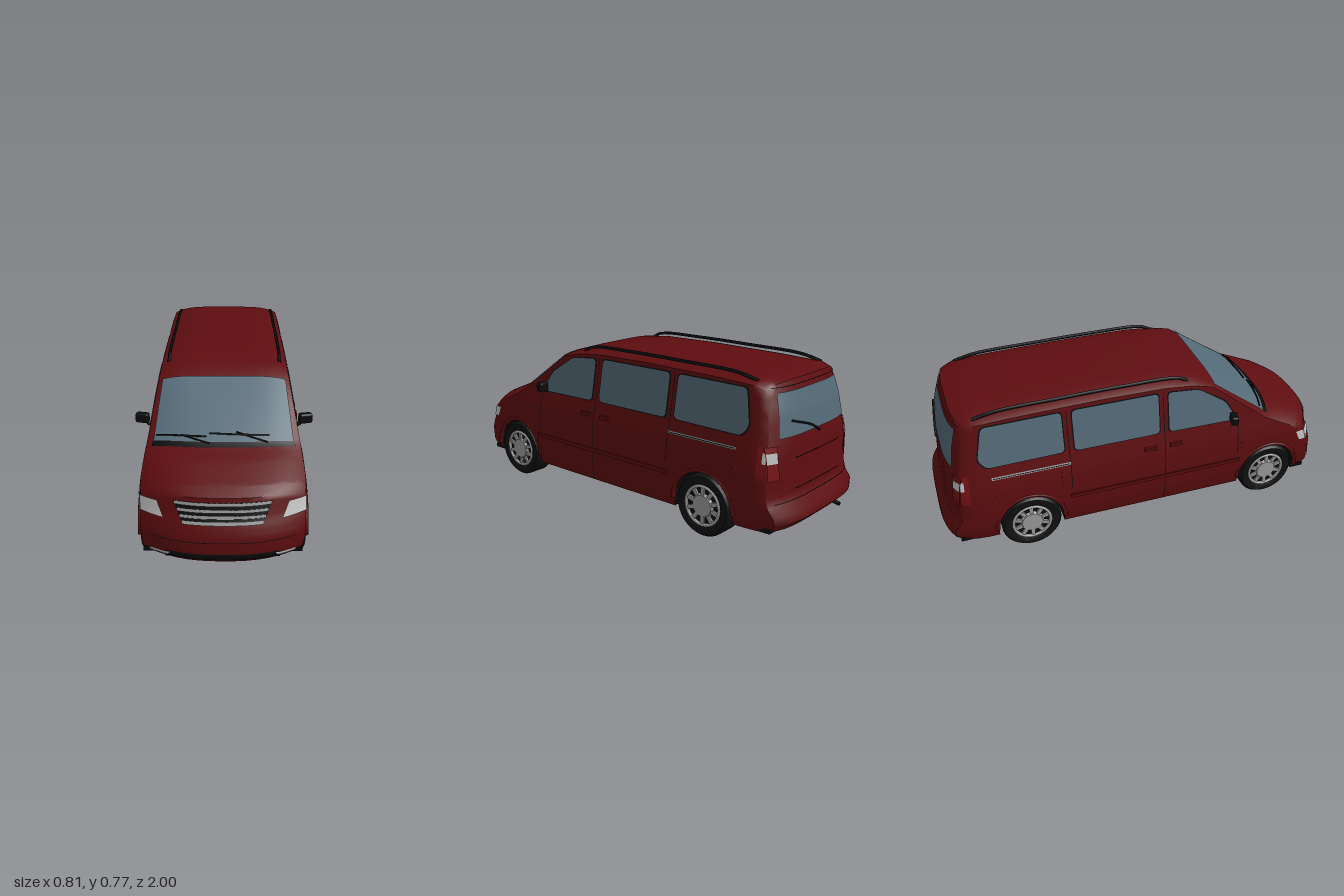
import * as THREE from 'three';
import { mergeGeometries, mergeVertices, toCreasedNormals } from 'three/addons/utils/BufferGeometryUtils.js';
import { RoundedBoxGeometry } from 'three/addons/geometries/RoundedBoxGeometry.js';

const V = (x, y, z) => new THREE.Vector3(x, y, z);
const mat = (name, color) => Object.assign(new THREE.MeshStandardMaterial({ color, side: THREE.DoubleSide }), { name });

// Piecewise linear lookup in a short table of [position, value]
function look(table, x) {
  if (x <= table[0][0]) return table[0][1];
  for (let i = 1; i < table.length; i++) {
    const [x0, y0] = table[i - 1], [x1, y1] = table[i];
    if (x <= x1) return y0 + (y1 - y0) * (x - x0) / (x1 - x0);
  }
  return table[table.length - 1][1];
}

// Shape rules of the body
const FRONT = 0.88, REAR = -0.91, AXLES = [0.65, -0.59], ARCH = 0.158, HUB = 0.145;
const WIDTH = [[0.1, 0.345], [0.15, 0.358], [0.22, 0.365], [0.36, 0.362], [0.42, 0.352], [0.5, 0.334], [0.71, 0.297], [0.76, 0.29]];
const TAPER = [[-0.91, 0.945], [-0.86, 0.98], [-0.81, 1], [0.6, 1], [0.76, 0.985], [0.88, 0.95]];
const EDGE = [[-0.91, 0.7], [-0.8, 0.717], [-0.6, 0.725], [-0.2, 0.731], [0.1, 0.727], [0.24, 0.713], [0.34, 0.688], [0.62, 0.474], [0.7, 0.432], [0.8, 0.382], [0.88, 0.352]];
const CROWN = [[-0.91, 0.03], [0.2, 0.03], [0.36, 0.022], [0.62, 0.02], [0.7, 0.03], [0.88, 0.033]];
const BULGE = [[-0.91, -0.05], [-0.8, -0.02], [-0.7, 0], [0.34, 0], [0.62, 0.055], [0.88, 0.11]];
const LEAN_F = [[0.1, -0.03], [0.14, 0.01], [0.22, 0.008], [0.27, -0.008], [0.3, -0.022], [0.38, -0.045]];
const LEAN_R = [[0.1, 0], [0.12, -0.04], [0.19, -0.038], [0.22, 0], [0.45, 0.012], [0.6, 0.035], [0.73, 0.072]];

const halfWidth = (y, z) => look(WIDTH, Math.min(y, look(EDGE, z))) * look(TAPER, z);
function skin(a, y, z) {
  const bend = look(BULGE, z) * (1 - Math.abs(a) ** (z > 0 ? 2.5 : 4));
  const lean = z > 0.8 ? look(LEAN_F, y) * (z - 0.8) / 0.08 : z < -0.8 ? look(LEAN_R, y) * (-0.8 - z) / 0.11 : 0;
  return V(a * halfWidth(y, z), y, z + bend + lean);
}
const topY = (a, z) => look(EDGE, z) + look(CROWN, z) * (1 - Math.abs(a) ** 5);
const sill = z => {
  for (const c of AXLES) if (Math.abs(z - c) <= ARCH + 1e-6) return HUB + Math.sqrt(Math.max(0, ARCH ** 2 - (z - c) ** 2));
  return 0.1;
};
// Surfaces addressed by two readable coordinates
const onTop = (a, z) => skin(a, topY(a, z), z);
const onFront = (x, y) => skin(x / halfWidth(y, FRONT), y, FRONT);
const onRear = (x, y) => skin(x / halfWidth(y, REAR), y, REAR);
const onSide = s => (z, y) => skin(s, y, z);

function grid(f, nu, nv) {
  const pos = [], idx = [], w = nu + 1;
  for (let j = 0; j <= nv; j++) for (let i = 0; i <= nu; i++) pos.push(...f(i / nu, j / nv).toArray());
  for (let j = 0; j < nv; j++) for (let i = 0; i < nu; i++) {
    const p = j * w + i;
    idx.push(p, p + 1, p + w + 1, p, p + w + 1, p + w);
  }
  const g = new THREE.BufferGeometry();
  g.setAttribute('position', new THREE.Float32BufferAttribute(pos, 3));
  g.setIndex(idx);
  return g;
}

function bodyGeometry() {
  const ROWS = 16, CROSS = 20;
  const zs = EDGE.map(e => e[0]).concat([-0.86, -0.84, -0.4, 0.45, 0.5, 0.55, 0.66, 0.75, 0.84]);
  for (const c of AXLES) {
    for (let i = 0; i <= 18; i++) zs.push(c + ARCH * Math.cos(Math.PI * i / 18));
    zs.push(c - ARCH - 0.0005, c + ARCH + 0.0005);
  }
  zs.sort((p, q) => p - q);
  const n = 2 * ROWS + CROSS, cross = k => Math.sin((k * 2 - 1) * Math.PI / 2);
  const loft = grid((u, v) => {
    const i = Math.round(u * n), z = zs[Math.round(v * (zs.length - 1))];
    const b = sill(z), t = look(EDGE, z);
    if (i <= ROWS) return skin(1, b + (t - b) * i / ROWS, z);
    if (i >= ROWS + CROSS) return skin(-1, b + (t - b) * (n - i) / ROWS, z);
    return onTop(-cross((i - ROWS) / CROSS), z);
  }, n, zs.length - 1);
  const cap = (z, s) => grid((u, v) => {
    const a = s * cross(u);
    return skin(a, 0.1 + (topY(a, z) - 0.1) * v, z);
  }, CROSS, ROWS);
  return toCreasedNormals(mergeVertices(mergeGeometries([loft, cap(FRONT, 1), cap(REAR, -1)]), 1e-4), 0.8);
}

export function createModel() {
  const van = new THREE.Group();
  van.name = 'van';
  const red = mat('body red', 0x5e0d10), glass = mat('window glass', 0x546a77), black = mat('black trim', 0x0b0c0c);
  const tyreMat = mat('tyre rubber', 0x101111), silver = mat('silver', 0x9c9c9c), lamp = mat('lamp white', 0xc4c4c4);
  const tail = mat('tail lamp red', 0x741216);

  const add = (name, geo, m, parent = van) => {
    const mesh = new THREE.Mesh(geo, m);
    mesh.name = name;
    parent.add(mesh);
    return mesh;
  };
  // Thin plate on a surface; corners: bottom left, bottom right, top right, top left
  const plate = (name, m, surf, c, off, nu = 12, nv = 4) => {
    const g = grid((u, v) => {
      const at = k => (c[0][k] * (1 - u) + c[1][k] * u) * (1 - v) + (c[3][k] * (1 - u) + c[2][k] * u) * v;
      return surf(at(0), at(1)).add(off);
    }, nu, nv);
    g.computeVertexNormals();
    return add(name, g, m);
  };
  const rect = (x0, x1, y0, y1) => [[x0, y0], [x1, y0], [x1, y1], [x0, y1]];
  const rod = (name, m, pts, r) => add(name, new THREE.TubeGeometry(new THREE.CatmullRomCurve3(pts), 24, r, 6), m);
  const box = (name, m, w, h, d, x, y, z) => add(name, new THREE.BoxGeometry(w, h, d), m).position.set(x, y, z);

  add('body', bodyGeometry(), red);

  // Underside
  box('floor', black, 0.48, 0.2, 1.86, 0, 0.201, -0.01);
  for (const [z0, z1] of [[-0.93, -0.75], [-0.43, 0.49], [0.81, 0.88]]) box('sillFloor', black, 0.675, 0.02, z1 - z0, 0, 0.112, (z0 + z1) / 2);
  const pipe = add('exhaustPipe', new THREE.CylinderGeometry(0.01, 0.01, 0.1, 12), black);
  pipe.rotation.x = Math.PI / 2 - 0.2;
  pipe.position.set(-0.19, 0.098, -0.93);

  // Windscreen, cowl and wipers
  const up = V(0, 0.004, 0.004);
  plate('windscreen', glass, onTop, [[-0.91, 0.606], [0.91, 0.606], [0.935, 0.35], [-0.935, 0.35]], up, 24, 12);
  plate('cowl', black, onTop, rect(-0.92, 0.92, 0.628, 0.602), V(0, 0.003, 0.003), 24, 2);
  const wiper = (a0, z0, a1, z1, r) => rod('wiper', black, [0, 0.25, 0.5, 0.75, 1].map(t =>
    onTop(a0 + (a1 - a0) * t, z0 + (z1 - z0) * t).add(V(0, 0.008, 0.008))), r);
  wiper(-0.88, 0.585, -0.22, 0.587, 0.004);
  wiper(-0.55, 0.583, -0.18, 0.612, 0.004);
  wiper(-0.18, 0.575, 0.6, 0.584, 0.004);
  wiper(0.17, 0.57, 0.57, 0.61, 0.004);

  // Front face: grille, intake, bumper seam
  const fwd = d => V(0, 0.001, d);
  plate('grilleBack', black, onFront, [[-0.165, 0.28], [0.165, 0.28], [0.205, 0.368], [-0.205, 0.368]], fwd(0.004), 20, 8);
  for (const [y, h] of [[0.28, 0.013], [0.304, 0.013], [0.328, 0.013], [0.354, 0.014]]) {
    const x = 0.167 + (y - 0.28) * 0.44;
    plate('grilleBar', silver, onFront, rect(-x, x, y, y + h), fwd(0.009), 20, 2);
  }
  plate('intake', black, onFront, rect(-0.23, 0.23, 0.118, 0.156), fwd(0.004), 20, 6);
  plate('bumperSeam', black, onFront, rect(-0.3, 0.3, 0.206, 0.209), fwd(0.003), 24, 1);

  // Tailgate: glass, number panel outline, bumper seam, wiper
  const back = V(0, 0.002, -0.005);
  plate('rearWindow', glass, onRear, [[0.275, 0.5], [-0.275, 0.5], [-0.245, 0.685], [0.245, 0.685]], back, 20, 10);
  for (const y of [0.27, 0.405]) plate('panelSeam', black, onRear, rect(0.19, -0.19, y, y + 0.004), back, 16, 1);
  plate('tailgateSeam', black, onRear, rect(0.31, -0.31, 0.222, 0.226), back, 20, 1);
  plate('tailgateTopSeam', black, onRear, rect(0.265, -0.265, 0.704, 0.707), back, 20, 1);
  rod('rearWiper', black, [[0, 0.49], [0.06, 0.525], [0.2, 0.57]].map(p => onRear(...p).add(V(0, 0, -0.012))), 0.005);

  // Rounded window outline in (z, y)
  const rounded = (pts, r) => {
    const p = pts.map(q => new THREE.Vector2(...q)), n = p.length, shape = new THREE.Shape();
    p.forEach((c, i) => {
      const a = p[(i + n - 1) % n], b = p[(i + 1) % n];
      const s = c.clone().add(a.clone().sub(c).setLength(r)), e = c.clone().add(b.clone().sub(c).setLength(r));
      i ? shape.lineTo(s.x, s.y) : shape.moveTo(s.x, s.y);
      shape.quadraticCurveTo(c.x, c.y, e.x, e.y);
    });
    return new THREE.ShapeGeometry(shape, 5);
  };
  const windows = {
    frontDoorWindow: [[0.465, 0.5], [0.11, 0.505], [0.11, 0.706], [0.265, 0.692], [0.4, 0.605]],
    slidingDoorWindow: [[0.06, 0.507], [-0.358, 0.507], [-0.358, 0.708], [0.06, 0.708]],
    quarterWindow: [[-0.408, 0.51], [-0.77, 0.506], [-0.805, 0.55], [-0.772, 0.704], [-0.408, 0.708]],
  };

  for (const s of [1, -1]) {
    const side = onSide(s), out = d => V(s * d, 0, 0);
    // Side windows lie on the sloping upper body
    for (const [name, pts] of Object.entries(windows)) {
      const cz = pts.reduce((t, p) => t + p[0], 0) / pts.length;
      const rim = pts.map(([z, y]) => [z + Math.sign(z - cz) * 0.006, y + (y > 0.6 ? 0.005 : -0.005)]);
      for (const [label, outline, m, off] of [[name + 'Seal', rim, black, 0.002], [name, pts, glass, 0.005]]) {
        const g = rounded(outline, 0.022), p = g.attributes.position;
        for (let i = 0; i < p.count; i++) p.setXYZ(i, s * (0.334 - (p.getY(i) - 0.5) * 0.1762 + off), p.getY(i), p.getX(i));
        if (s < 0) g.index.array.reverse();
        g.computeVertexNormals();
        add(label, g, m);
      }
    }
    const strip = (name, m, z0, z1, y0, y1, d, n = 12) =>
      plate(name, m, side, s > 0 ? rect(z0, z1, y0, y1) : rect(z1, z0, y0, y1), out(d), n, 12);
    // Door seams, sliding track, rub strip, handles
    for (const [z, y0, y1] of [[0.085, 0.115, 0.71], [-0.385, 0.31, 0.71], [0.47, 0.3, 0.49]]) strip('doorSeam', black, z + 0.002, z - 0.002, y0, y1, 0.002, 1);
    strip('slidingTrack', silver, -0.385, -0.755, 0.441, 0.455, 0.005);
    strip('slidingTrackSlot', black, -0.39, -0.75, 0.446, 0.45, 0.007);
    box('rubStrip', red, 0.014, 0.018, 0.88, s * 0.364, 0.262, 0.045);
    for (const z of [0.14, 0.01]) box('doorHandle', red, 0.014, 0.018, 0.06, s * 0.352, 0.435, z);
    // Head lamps wrap round the corner; fog lamps
    const flip = c => s > 0 ? c : [c[1], c[0], c[3], c[2]];
    plate('headLamp', lamp, onFront, flip([[s * 0.24, 0.29], [s * 0.343, 0.293], [s * 0.343, 0.351], [s * 0.268, 0.352]]), V(s * 0.004, 0.001, 0.005));
    plate('headLampSide', lamp, side, flip([[0.88, 0.293], [0.83, 0.295], [0.795, 0.351], [0.88, 0.351]]), V(s * 0.004, 0.001, 0.005));
    plate('fogLamp', lamp, onFront, flip([[s * 0.232, 0.127], [s * 0.308, 0.127], [s * 0.3, 0.151], [s * 0.215, 0.151]]), V(s * 0.002, 0, 0.006));
    // Tail lamps
    plate('tailLamp', tail, onRear, flip(rect(s * 0.338, s * 0.285, 0.33, 0.475)), V(s * 0.002, 0, -0.005));
    strip('tailLampSide', tail, -0.865, -0.91, 0.33, 0.475, 0.004);
    plate('reverseLamp', lamp, onRear, flip(rect(s * 0.338, s * 0.292, 0.405, 0.45)), V(s * 0.003, 0, -0.008));
    strip('reverseLampSide', lamp, -0.89, -0.91, 0.405, 0.45, 0.006);
    // Roof rail
    rod('roofRail', black, [0.22, 0.17, -0.1, -0.4, -0.7, -0.8].map((z, i) =>
      V(s * 0.262, topY(0.89, z) + (i % 5 ? 0.018 : 0), z)), 0.008);
    // Door mirror
    const mirror = add('doorMirror', new RoundedBoxGeometry(0.062, 0.046, 0.036, 3, 0.01), black);
    mirror.position.set(s * 0.373, 0.53, 0.43);
    mirror.rotation.y = s * 0.25;
    rod('mirrorArm', black, [V(s * 0.33, 0.498, 0.44), V(s * 0.345, 0.505, 0.435), V(s * 0.36, 0.52, 0.43)], 0.009);

    for (const z of AXLES) {
      // Arch lip and well
      const lip = add('archLip', new THREE.TorusGeometry(0.165, 0.01, 8, 28, Math.PI), red);
      lip.rotation.y = Math.PI / 2;
      lip.position.set(s * 0.356, HUB, z);
      const well = add('wheelWell', new THREE.CylinderGeometry(ARCH, ARCH, 0.118, 24, 1, true, 0, Math.PI), black);
      well.rotation.z = Math.PI / 2;
      well.position.set(s * 0.298, HUB, z);
      // Wheel, axis along local y, outer face at +y
      const wheel = new THREE.Group();
      wheel.name = 'wheel';
      wheel.position.set(s * 0.303, HUB, z);
      wheel.rotation.z = -s * Math.PI / 2;
      van.add(wheel);
      const prof = [[0.096, -0.05], [0.105, -0.057], [0.135, -0.056], [0.145, -0.044], [0.145, 0.044], [0.135, 0.056], [0.105, 0.057], [0.096, 0.05]];
      add('tyre', toCreasedNormals(new THREE.LatheGeometry(prof.map(p => new THREE.Vector2(...p)), 36), 0.7), tyreMat, wheel);
      add('wheelDisc', new THREE.CylinderGeometry(0.098, 0.098, 0.09, 32), black, wheel);
      for (const y of [0.05, -0.05]) {
        const ring = add('rimRing', new THREE.TorusGeometry(0.091, 0.008, 8, 36), silver, wheel);
        ring.rotation.x = Math.PI / 2;
        ring.position.y = y;
      }
      add('hubCap', new THREE.CylinderGeometry(0.05, 0.06, 0.016, 28), silver, wheel).position.y = 0.05;
      for (let i = 0; i < 10; i++) {
        const t = i * Math.PI / 5, spoke = add('spoke', new THREE.BoxGeometry(0.04, 0.012, 0.019), silver, wheel);
        spoke.position.set(Math.cos(t) * 0.072, 0.048, -Math.sin(t) * 0.072);
        spoke.rotation.y = t;
      }
    }
  }
  return van;
}
